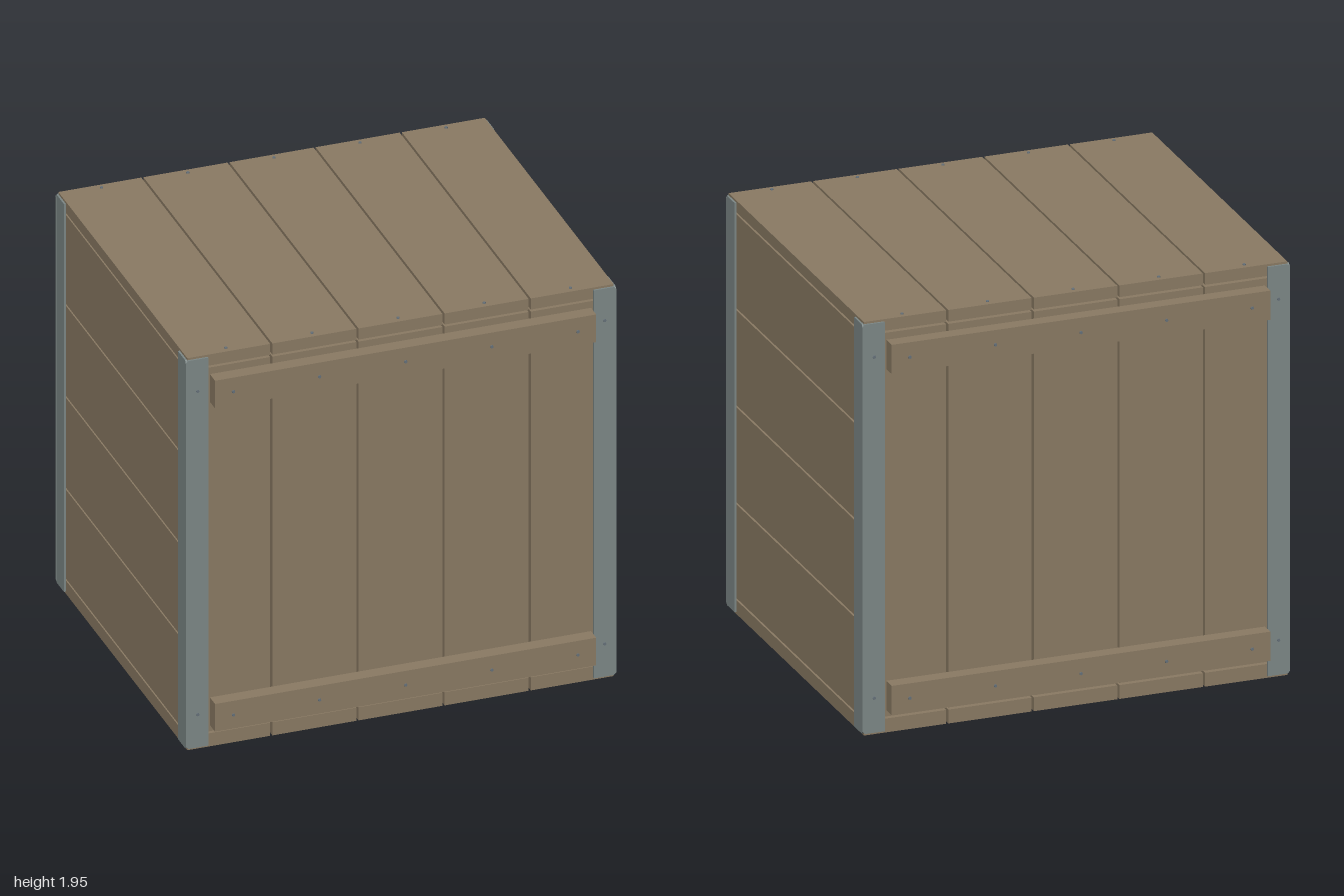
import * as THREE from 'three';

export function createModel() {
  const wood = new THREE.MeshStandardMaterial({ color: 0x8b7b64 });
  wood.name = 'weathered wood';
  const steel = new THREE.MeshStandardMaterial({ color: 0x7d8887 });
  steel.name = 'corner steel';
  const nailSteel = new THREE.MeshStandardMaterial({ color: 0x66717a });
  nailSteel.name = 'nail steel';

  const crate = new THREE.Group();
  crate.name = 'crate';

  // box given by its min and max on each axis
  function board(name, [x0, x1], [y0, y1], [z0, z1]) {
    const mesh = new THREE.Mesh(new THREE.BoxGeometry(x1 - x0, y1 - y0, z1 - z0), wood);
    mesh.position.set((x0 + x1) / 2, (y0 + y1) / 2, (z0 + z1) / 2);
    mesh.name = name;
    crate.add(mesh);
  }

  // small nail head lying on a surface; axis is the way it points
  const nailGeometry = new THREE.CylinderGeometry(0.007, 0.008, 0.008, 8);
  function nail(x, y, z, axis) {
    const mesh = new THREE.Mesh(nailGeometry, nailSteel);
    mesh.position.set(x, y, z);
    if (axis === 'z') mesh.rotation.x = Math.sign(z) * Math.PI / 2;
    else if (y < 0.5) mesh.rotation.x = Math.PI;
    mesh.name = 'nail';
    crate.add(mesh);
  }

  const gap = 0.005; // half the slit between planks
  const cuts = [-0.995, -0.6, -0.2, 0.2, 0.6, 0.995];
  const levels = [0.07, 0.52, 0.975, 1.43, 1.88];

  // lid, floor, front and back planks
  for (let i = 0; i < 5; i++) {
    const x = [cuts[i] + gap, cuts[i + 1] - gap];
    board('lidPlank', x, [1.885, 1.94], [-0.815, 0.815]);
    board('floorPlank', x, [0, 0.065], [-0.815, 0.815]);
    board('frontPlank', x, [0.075, 1.875], [0.755, 0.815]);
    board('backPlank', x, [0.075, 1.875], [-0.815, -0.755]);
  }

  // horizontal planks on both sides
  for (let i = 0; i < 4; i++) {
    const y = [levels[i] + gap, levels[i + 1] - gap];
    board('leftPlank', [0.93, 0.99], y, [-0.755, 0.755]);
    board('rightPlank', [-0.99, -0.93], y, [-0.755, 0.755]);
  }

  // battens across front and back, with nails
  const nailXs = [-0.8, -0.4, 0, 0.4, 0.8];
  for (const y of [0.105, 1.705]) {
    board('frontBatten', [-0.885, 0.885], [y, y + 0.137], [0.815, 0.88]);
    board('backBatten', [-0.885, 0.885], [y, y + 0.137], [-0.88, -0.815]);
    for (const s of [-1, 1]) {
      for (const x of nailXs) nail(x, y + 0.068, s * 0.881, 'z');
      for (const x of [-0.945, 0.945]) nail(x, y + 0.068, s * 0.824, 'z');
    }
  }

  // nails along the lid and floor
  for (const x of nailXs) {
    for (const z of [-0.785, 0.785]) {
      nail(x, 1.941, z, 'y');
      nail(x, 0.004, z, 'y');
    }
  }

  // steel angle on each upright edge: two flanges with cut outer corners
  function flange(width) {
    const c = 0.012, y0 = 0.01, y1 = 1.93;
    const shape = new THREE.Shape([
      [-width, y0], [-c, y0], [0, y0 + c], [0, y1 - c], [-c, y1], [-width, y1],
    ].map(([x, y]) => new THREE.Vector2(x, y)));
    return new THREE.ExtrudeGeometry(shape, { depth: 0.009, bevelEnabled: false });
  }
  const faceFlange = flange(0.105);
  faceFlange.translate(1, 0, 0.815);
  const sideFlange = flange(0.104);
  sideFlange.rotateY(-Math.PI / 2);
  sideFlange.translate(0.999, 0, 0.824);
  for (const sx of [-1, 1]) {
    for (const sz of [-1, 1]) {
      const angle = new THREE.Group();
      angle.name = 'cornerAngle';
      angle.add(new THREE.Mesh(faceFlange, steel), new THREE.Mesh(sideFlange, steel));
      angle.children[0].name = 'faceFlange';
      angle.children[1].name = 'sideFlange';
      angle.scale.set(sx, 1, sz);
      crate.add(angle);
    }
  }
  return crate;
}
